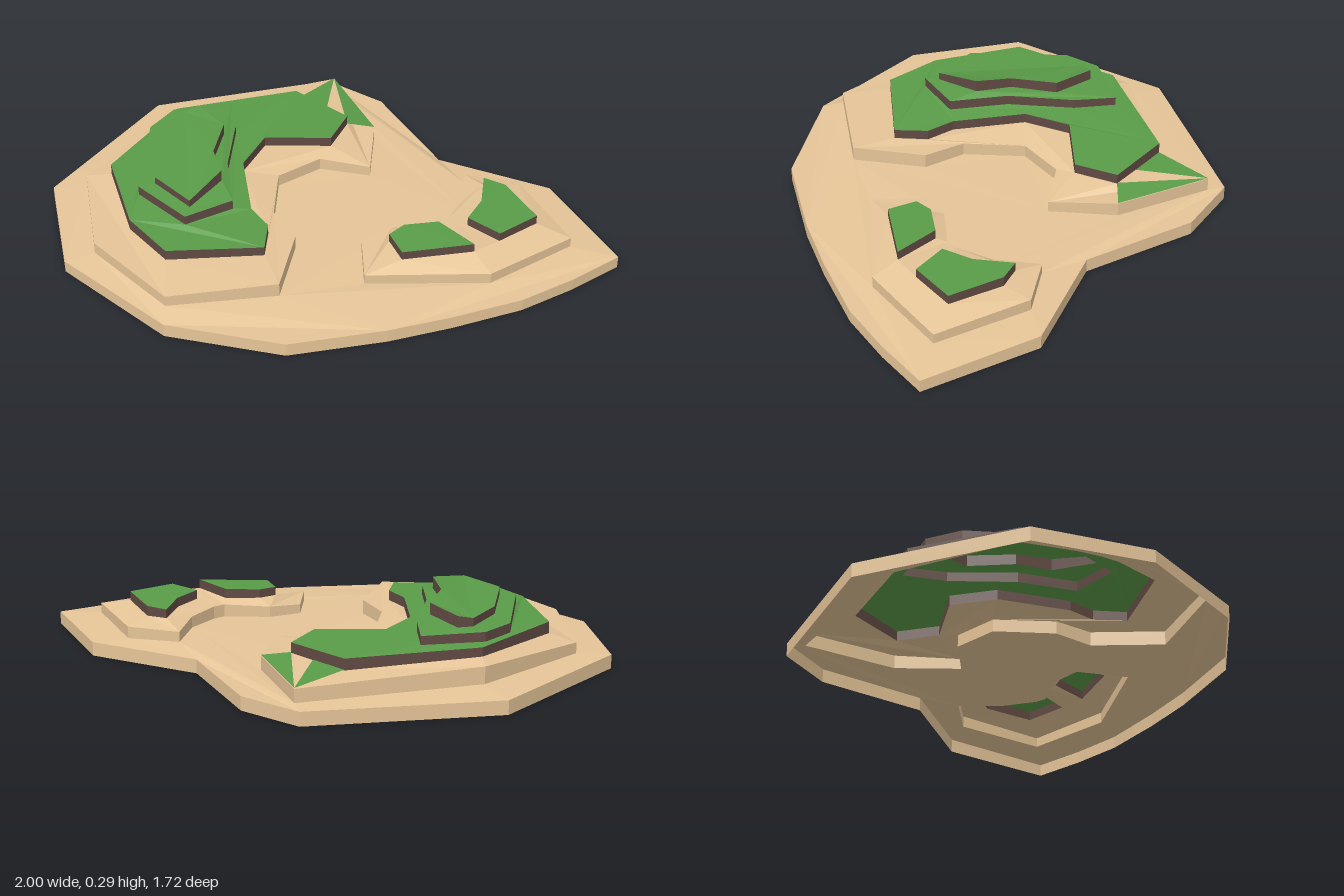
import * as THREE from 'three';

const material = (color) => new THREE.MeshStandardMaterial({ color, flatShading: true, side: THREE.DoubleSide });

// Every outline point is [x, z, wall bottom, wall top]
const BASE = [
  [-1, -0.07, 0, 0.055], [-0.64, -0.73, 0, 0.055], [-0.37, -0.79, 0, 0.055], [0.09, -0.67, 0, 0.055],
  [0.53, -0.86, 0, 0.055], [1, -0.73, 0, 0.05], [0.97, -0.5, 0, 0.05], [0.92, -0.27, 0, 0.05],
  [0.81, 0, 0, 0.053], [0.7, 0.23, 0, 0.055], [0.5, 0.56, 0, 0.055], [0.11, 0.82, 0, 0.055],
  [-0.44, 0.86, 0, 0.05], [-0.84, 0.61, 0, 0.055],
];
const MAIN_HILL = [
  [-0.84, -0.04, 0.068, 0.135], [-0.57, -0.7, 0.062, 0.115], [-0.19, -0.57, 0.065, 0.12], [-0.01, -0.37, 0.072, 0.115],
  [-0.18, -0.25, 0.075, 0.125], [-0.21, -0.05, 0.075, 0.125], [-0.04, 0.13, 0.078, 0.13], [0.13, 0.17, 0.078, 0.135],
  [0.3, 0.41, 0.078, 0.135], [0.05, 0.76, 0.075, 0.12], [-0.39, 0.75, 0.062, 0.11], [-0.76, 0.5, 0.062, 0.105],
];
const LOWER_GREEN = [
  [-0.78, 0, 0.15, 0.185], [-0.55, -0.46, 0.13, 0.175], [-0.27, -0.49, 0.135, 0.175], [-0.2, -0.33, 0.14, 0.18],
  [-0.38, -0.13, 0.145, 0.185], [-0.31, 0.05, 0.145, 0.185], [-0.07, 0.22, 0.14, 0.18], [0.05, 0.24, 0.14, 0.18],
  [0.14, 0.34, 0.14, 0.178], [-0.1, 0.63, 0.135, 0.178], [-0.34, 0.61, 0.132, 0.178], [-0.67, 0.44, 0.132, 0.178],
];
const MIDDLE_GREEN = [
  [-0.74, 0.05, 0.188, 0.225], [-0.62, -0.16, 0.186, 0.22], [-0.48, -0.06, 0.188, 0.225], [-0.3, 0.14, 0.195, 0.235],
  [-0.11, 0.28, 0.19, 0.23], [-0.16, 0.48, 0.19, 0.228], [-0.43, 0.49, 0.19, 0.228], [-0.71, 0.2, 0.188, 0.225],
];
const UPPER_GREEN = [
  [-0.66, 0.06, 0.226, 0.258], [-0.64, 0, 0.228, 0.272], [-0.46, 0.02, 0.235, 0.28], [-0.35, 0.17, 0.242, 0.283],
  [-0.22, 0.24, 0.247, 0.295], [-0.19, 0.43, 0.232, 0.262], [-0.4, 0.43, 0.23, 0.26], [-0.59, 0.23, 0.228, 0.258],
];
const SIDE_HILL = [
  [0.28, -0.62, 0.07, 0.11], [0.46, -0.74, 0.065, 0.112], [0.84, -0.63, 0.065, 0.105], [0.78, -0.24, 0.065, 0.11],
  [0.46, 0.12, 0.07, 0.11], [0.3, -0.02, 0.075, 0.112], [0.33, -0.15, 0.075, 0.118], [0.45, -0.29, 0.075, 0.125],
  [0.45, -0.34, 0.075, 0.125], [0.4, -0.48, 0.075, 0.12],
];
const BACK_GREEN = [
  [0.4, -0.6, 0.135, 0.17], [0.49, -0.63, 0.13, 0.17], [0.71, -0.57, 0.135, 0.172],
  [0.69, -0.38, 0.14, 0.176], [0.54, -0.36, 0.142, 0.178], [0.5, -0.48, 0.138, 0.175],
];
const FRONT_GREEN = [
  [0.4, -0.15, 0.14, 0.175], [0.48, -0.26, 0.14, 0.178], [0.67, -0.26, 0.142, 0.178],
  [0.51, -0.03, 0.135, 0.17], [0.4, -0.07, 0.138, 0.172],
];

function meshFrom(triangles, color, name) {
  const geometry = new THREE.BufferGeometry().setFromPoints(triangles.flat());
  geometry.computeVertexNormals();
  const mesh = new THREE.Mesh(geometry, material(color));
  mesh.name = name;
  return mesh;
}

// Ground from an outline to the feet of the terraces standing on it
function ground(outline, holes) {
  const flat = (ring) => ring.map(([x, z]) => new THREE.Vector2(x, z));
  const points = outline.map(([x, z, , y]) => new THREE.Vector3(x, y, z));
  for (const hole of holes) points.push(...hole.map(([x, z, y]) => new THREE.Vector3(x, y, z)));
  const faces = THREE.ShapeUtils.triangulateShape(flat(outline), holes.map(flat));
  return faces.map((face) => {
    const [a, b, c] = face.map((i) => points[i]);
    const up = (b.z - a.z) * (c.x - a.x) - (b.x - a.x) * (c.z - a.z) > 0;
    return up ? [a, b, c] : [a, c, b];
  });
}

// Upright band around an outline; all outlines run clockwise seen from above
function wall(outline) {
  return outline.flatMap(([x, z, low, high], i) => {
    const [x2, z2, low2, high2] = outline[(i + 1) % outline.length];
    const a = new THREE.Vector3(x, low, z), b = new THREE.Vector3(x2, low2, z2);
    const c = new THREE.Vector3(x2, high2, z2), d = new THREE.Vector3(x, high, z);
    return [[a, c, b], [a, d, c]];
  });
}

function terrace(name, outline, holes, topColor, wallColor) {
  const group = new THREE.Group();
  group.name = name;
  group.add(meshFrom(wall(outline), wallColor, name + 'Wall'));
  group.add(meshFrom(ground(outline, holes), topColor, name + 'Top'));
  return group;
}

export function createModel() {
  const sand = 0xe6c598, grass = 0x5a9c48, earth = 0x614a43;
  const island = new THREE.Group();
  island.name = 'island';

  // Sandy ground and the two sandy hills
  island.add(terrace('beach', BASE, [MAIN_HILL, SIDE_HILL], sand, sand));
  island.add(terrace('mainHill', MAIN_HILL, [LOWER_GREEN], sand, sand));
  island.add(terrace('sideHill', SIDE_HILL, [BACK_GREEN, FRONT_GREEN], sand, sand));

  // Grassy terraces with earth banks
  island.add(terrace('lowerGreen', LOWER_GREEN, [MIDDLE_GREEN], grass, earth));
  island.add(terrace('middleGreen', MIDDLE_GREEN, [UPPER_GREEN], grass, earth));
  island.add(terrace('upperGreen', UPPER_GREEN, [], grass, earth));
  island.add(terrace('backGreen', BACK_GREEN, [], grass, earth));
  island.add(terrace('frontGreen', FRONT_GREEN, [], grass, earth));

  // Grass patches on the sand at the back of the main hill
  const v = (x, y, z) => new THREE.Vector3(x, y + 0.003, z);
  const corner = v(-0.57, 0.115, -0.7);
  island.add(meshFrom([
    [corner, v(-0.55, 0.13, -0.46), v(-0.39, 0.133, -0.48)],
    [corner, v(-0.27, 0.135, -0.49), v(-0.19, 0.12, -0.57)],
  ], grass, 'grassPatches'));
  return island;
}
